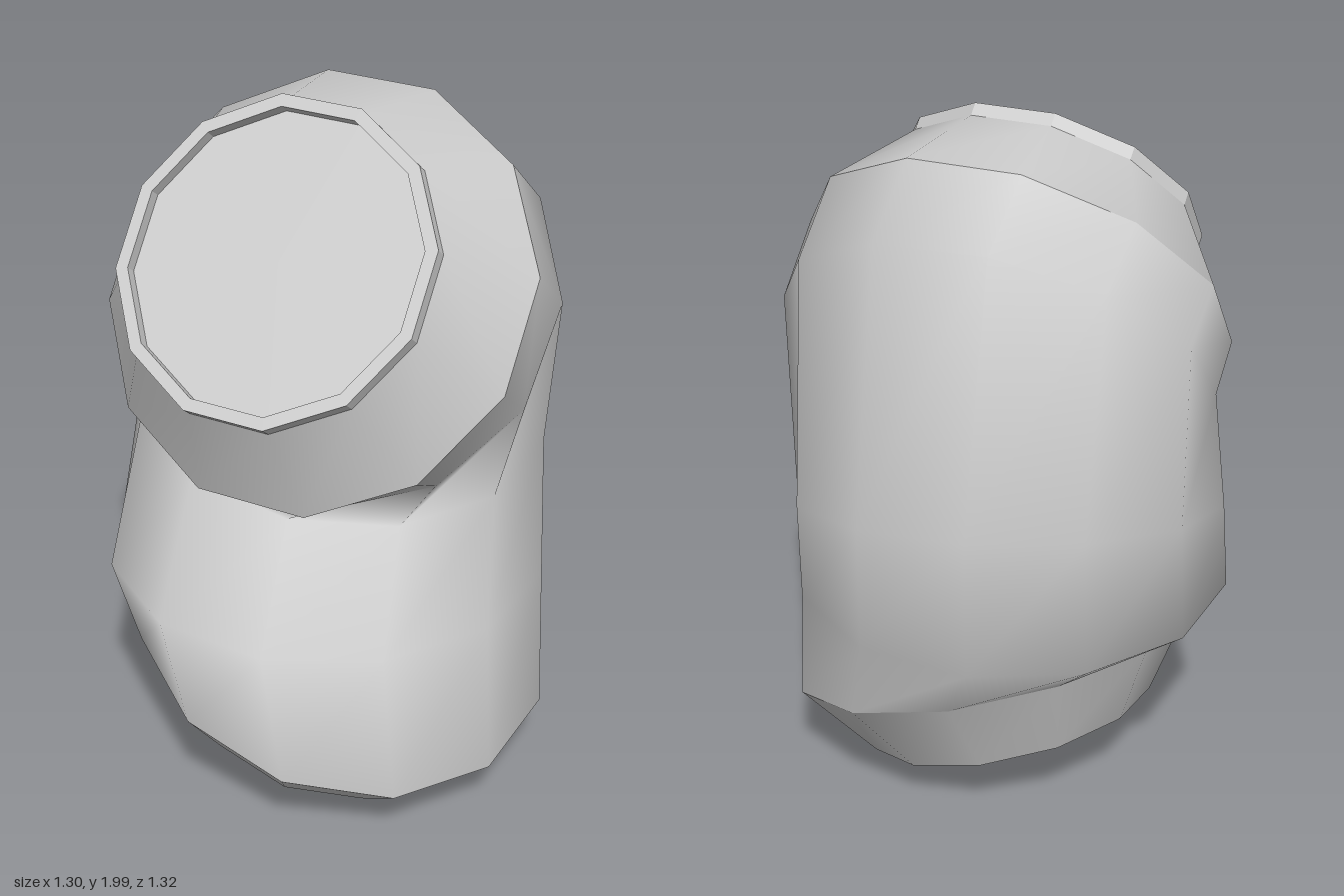
import * as THREE from 'three';

const SIDES = 12;
const V = (x, y, z) => new THREE.Vector3(x, y, z);

// A tilted 12-sided ring: centre, axis, half width across x, half depth, twist in degrees
function ring(c, n, rx, ry = rx, twist = 15) {
  const axis = n.clone().normalize();
  const e1 = V(1, 0, 0).addScaledVector(axis, -axis.x).normalize();
  const e2 = axis.clone().cross(e1);
  return Array.from({ length: SIDES }, (_, i) => {
    const a = THREE.MathUtils.degToRad(i * 360 / SIDES + twist);
    return c.clone().addScaledVector(e1, rx * Math.cos(a)).addScaledVector(e2, ry * Math.sin(a));
  });
}

// Skin a list of rings, ordered along their axis
function loft(name, rings, flatShading = false) {
  const index = [];
  for (let r = 0; r < rings.length - 1; r++) {
    for (let i = 0; i < SIDES; i++) {
      const j = (i + 1) % SIDES;
      const a = r * SIDES + i, b = r * SIDES + j;
      index.push(a, b, b + SIDES, a, b + SIDES, a + SIDES);
    }
  }
  const geo = new THREE.BufferGeometry().setFromPoints(rings.flat());
  geo.setIndex(index);
  geo.computeVertexNormals();
  const mesh = new THREE.Mesh(geo, new THREE.MeshStandardMaterial({ color: 0xcccccc, flatShading }));
  mesh.name = name;
  return mesh;
}

export function createModel() {
  const group = new THREE.Group();
  group.name = 'bentSegment';

  // End axes and the points along them
  const up = V(0, 0.63, 0.78).normalize();
  const down = V(0.285, 0.95, 0.124).normalize();
  const rimCentre = V(0.025, 1.67, 0.385);
  const topAt = (d, r) => ring(rimCentre.clone().addScaledVector(up, -d), up, r);
  const lowCentre = V(0.08, 0.374, 0.09);
  const baseCentre = lowCentre.clone().addScaledVector(down, -0.24);

  // Bent tube between the two end rings
  const low = ring(lowCentre, down, 0.6, 0.6, 11);
  const high = ring(V(0.03, 1.49, 0.16), up, 0.61);
  group.add(loft('bentBody', [
    low,
    ring(V(0.01, 0.65, 0.06), V(0, 1, 0), 0.625, 0.62, 11),
    ring(V(-0.06, 1.0, -0.155), V(0.1, 0.97, 0.22), 0.605, 0.52, 9),
    ring(V(0.02, 1.375, -0.02), V(0.03, 0.66, 0.72), 0.61, 0.585, 13),
    high,
  ]));

  // Tapered shoulders at both ends
  group.add(loft('upperShoulder', [high, topAt(0.04, 0.44)]));
  const base = ring(baseCentre, down, 0.43, 0.43, 11);
  group.add(loft('lowerShoulder', [base, low]));
  group.add(loft('baseDisc', [ring(baseCentre, down, 0, 0, 11), base], true));

  // Raised rim with a shallow recess
  group.add(loft('rim', [
    topAt(0.04, 0.44), topAt(0, 0.44), topAt(0, 0.405), topAt(0.035, 0.405),
  ], true));
  group.add(loft('recessFloor', [topAt(0.035, 0.405), topAt(0.035, 0)], true));

  return group;
}
